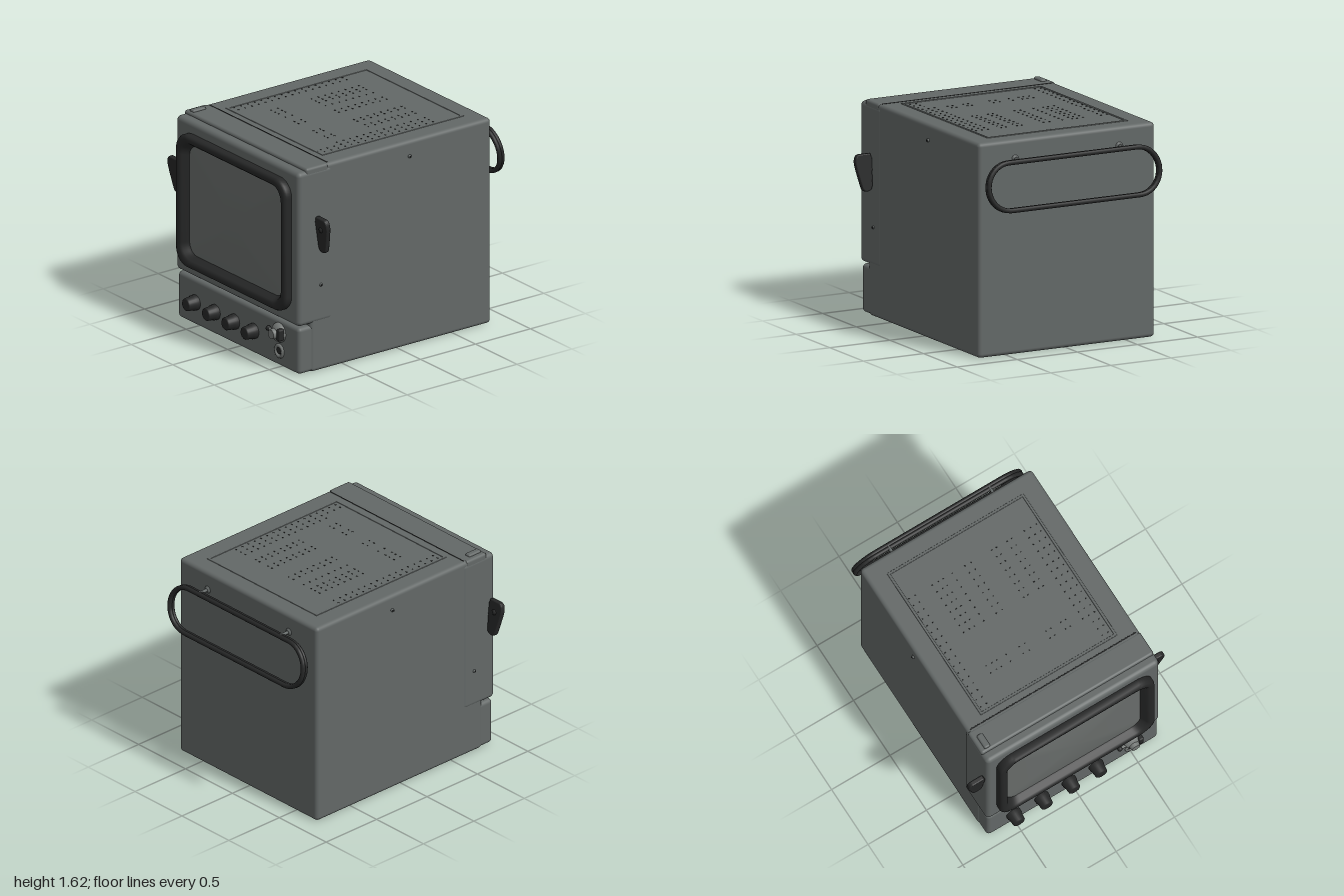
import * as THREE from 'three';
import { RoundedBoxGeometry } from 'three/addons/geometries/RoundedBoxGeometry.js';

const mat = (name, color) => {
  const m = new THREE.MeshStandardMaterial({ color });
  m.name = name;
  return m;
};

// Outline of a rounded rectangle centred on (0, 0)
function roundedLoop(w, h, r, steps = 10) {
  const pts = [];
  [[1, 1], [-1, 1], [-1, -1], [1, -1]].forEach(([sx, sy], q) => {
    for (let i = 0; i <= steps; i++) {
      const a = (q + i / steps) * Math.PI / 2;
      pts.push([sx * (w - r) + r * Math.cos(a), sy * (h - r) + r * Math.sin(a)]);
    }
  });
  return pts;
}

// Surface through rounded rectangles given as [halfWidth, halfHeight, radius, z]
function loft(sections) {
  const pos = [], index = [];
  let n = 0;
  sections.forEach(([w, h, r, z], k) => {
    const loop = roundedLoop(w, h, r);
    n = loop.length;
    loop.forEach(([x, y]) => pos.push(x, y, z));
    if (!k) return;
    for (let i = 0; i < n; i++) {
      const a = (k - 1) * n + i, b = (k - 1) * n + (i + 1) % n;
      index.push(a, b, b + n, a, b + n, a + n);
    }
  });
  const g = new THREE.BufferGeometry();
  g.setAttribute('position', new THREE.Float32BufferAttribute(pos, 3));
  g.setIndex(index);
  g.computeVertexNormals();
  return g;
}

export function createModel() {
  const model = new THREE.Group();
  const grey = mat('casing grey', 0x636867);
  const glass = mat('screen grey', 0x686c6a);
  const black = mat('rubber black', 0x262727);
  const metal = mat('latch metal', 0x747876);

  const add = (name, geo, material, x = 0, y = 0, z = 0, parent = model) => {
    const mesh = new THREE.Mesh(geo, material);
    mesh.name = name;
    mesh.position.set(x, y, z);
    parent.add(mesh);
    return mesh;
  };
  // Rounded box given by its limits
  const box = (name, m, x0, x1, y0, y1, z0, z1, r) => add(name,
    new RoundedBoxGeometry(x1 - x0, y1 - y0, z1 - z0, 3, r), m, (x0 + x1) / 2, (y0 + y1) / 2, (z0 + z1) / 2);

  // Casing: main shell, front hood and control panel
  box('mainShell', grey, -0.735, 0.735, 0.01, 1.61, -0.845, 0.8, 0.03);
  box('frontHood', grey, -0.74, 0.74, 0.39, 1.59, 0.6, 0.915, 0.035);
  box('hoodTop', grey, -0.738, 0.738, 1.5, 1.612, 0.64, 0.84, 0.02);
  box('controlPanel', grey, -0.73, 0.73, 0.015, 0.375, 0.6, 0.905, 0.03);
  box('topSeam', black, -0.71, 0.71, 1.606, 1.613, 0.628, 0.636, 0.002);
  box('topSwitch', grey, -0.7, -0.65, 1.595, 1.627, 0.7, 0.82, 0.014);

  // Shallow raised border around the ventilated top
  for (const s of [-1, 1]) box('topBorder', grey, s * 0.575 - 0.01, s * 0.575 + 0.01, 1.605, 1.614, -0.7, 0.57, 0.004);
  for (const z of [-0.7, 0.57]) box('topBorder', grey, -0.585, 0.585, 1.605, 1.614, z - 0.01, z + 0.01, 0.004);

  // Rows of tiny ventilation holes
  const columns = [-0.55, -0.5, -0.35, -0.3, -0.26, -0.18, -0.07, -0.02, 0.16, 0.2, 0.29, 0.33, 0.44, 0.49, 0.54];
  const holes = new THREE.InstancedMesh(new THREE.BoxGeometry(0.011, 0.004, 0.008), black, columns.length * 17);
  holes.name = 'ventHoles';
  const place = new THREE.Matrix4();
  let count = 0;
  for (let row = 0; row < 17; row++) {
    const z = -0.46 + row * 0.0615;
    columns.forEach((x) => {
      if (z > 0.4 && Math.abs(x) < 0.48) return;
      if (z > 0 && z < 0.25 && Math.abs(x) < 0.4) return;
      holes.setMatrixAt(count++, place.makeTranslation(x, 1.611, z));
    });
  }
  holes.count = count;
  model.add(holes);

  // Screen surround, rounded outside and sloping inward to the glass
  const bezel = [[0.655, 0.507, 0.13, 0.9], [0.662, 0.515, 0.13, 0.925], [0.662, 0.515, 0.13, 0.96],
    [0.654, 0.507, 0.125, 0.976], [0.636, 0.489, 0.12, 0.983], [0.613, 0.466, 0.115, 0.98],
    [0.597, 0.452, 0.11, 0.966], [0.578, 0.437, 0.1, 0.93], [0.562, 0.422, 0.09, 0.91]];
  add('screenSurround', loft(bezel), black, 0, 0.993);

  // Gently domed screen
  const dome = [];
  for (let i = 0; i <= 8; i++) {
    const s = 1 - i / 8 * 0.999;
    dome.push([0.57 * s, 0.43 * s, 0.09 * s, 0.917 + 0.033 * (1 - s * s)]);
  }
  add('screen', loft(dome), glass, 0, 0.988);

  // Round control knobs
  const knobProfile = [[0, 0.095], [0.04, 0.095], [0.048, 0.088], [0.053, 0.035], [0.058, 0.03], [0.058, 0]]
    .reverse().map(([r, y]) => new THREE.Vector2(r, y));
  const knobGeo = new THREE.LatheGeometry(knobProfile, 24).rotateX(Math.PI / 2);
  for (const x of [-0.512, -0.272, -0.038, 0.193]) add('knob', knobGeo, black, x, 0.195, 0.903);

  // Rotary latch with a short lever, and the socket below it
  const latch = add('rotaryLatch', new THREE.SphereGeometry(0.075, 24, 12), metal, 0.5, 0.28, 0.905);
  latch.scale.z = 0.75;
  add('latchCap', new THREE.CylinderGeometry(0.035, 0.04, 0.03, 20).rotateX(Math.PI / 2), metal, 0.495, 0.28, 0.967);
  add('latchGrip', new RoundedBoxGeometry(0.04, 0.09, 0.05, 2, 0.012), black, 0.555, 0.285, 0.94);
  add('latchLever', new THREE.CapsuleGeometry(0.012, 0.06, 4, 10).rotateZ(Math.PI / 2), metal, 0.415, 0.283, 0.925);
  add('leverTip', new THREE.SphereGeometry(0.02, 12, 8), black, 0.39, 0.283, 0.925);
  add('socketRing', new THREE.TorusGeometry(0.042, 0.014, 8, 24), metal, 0.5, 0.135, 0.907);
  add('socketHole', new THREE.CylinderGeometry(0.027, 0.027, 0.008, 20).rotateX(Math.PI / 2), black, 0.5, 0.138, 0.908);

  // Tapered side wing grips
  const wing = new THREE.Shape();
  wing.moveTo(0.02, 0.13);
  wing.lineTo(0.1, 0.13);
  wing.quadraticCurveTo(0.133, 0.13, 0.13, 0.07);
  wing.quadraticCurveTo(0.125, 0.03, 0.086, -0.11);
  wing.quadraticCurveTo(0.08, -0.13, 0.055, -0.13);
  wing.quadraticCurveTo(0.02, -0.13, 0.018, -0.09);
  wing.lineTo(0.01, 0.1);
  const wingGeo = new THREE.ExtrudeGeometry(wing, {
    depth: 0.02, bevelThickness: 0.01, bevelSize: 0.009, bevelSegments: 3, curveSegments: 8,
  }).translate(0, 0, -0.01);
  for (const [side, z] of [[1, 0.735], [-1, 0.86]]) {
    const grip = new THREE.Group();
    grip.name = side > 0 ? 'leftWingGrip' : 'rightWingGrip';
    grip.position.set(side * 0.738, 1.09, z);
    grip.rotation.set(0.12, side > 0 ? 0 : Math.PI, 0, 'XYZ');
    add('wing', wingGeo, black, 0, 0, 0, grip);
    add('wingHub', new THREE.SphereGeometry(0.026, 16, 10), black, 0.066, 0.05, 0.006, grip);
    add('wingShaft', new THREE.CylinderGeometry(0.014, 0.014, 0.06, 12).rotateZ(Math.PI / 2), black, 0, 0.02, 0, grip);
    model.add(grip);
    // Small side screws
    for (const [y, sz] of [[1.49, -0.1], [0.68, 0.71]]) {
      add('sideScrew', new THREE.SphereGeometry(0.014, 12, 8), grey, side * 0.736, y, sz);
      add('screwSlot', new THREE.BoxGeometry(0.006, 0.012, 0.012), black, side * 0.749, y, sz);
    }
  }

  // Stadium-shaped rear handle, grooved along its middle
  const path = new THREE.CurvePath();
  const half = 0.175, reach = 0.535;
  const loop = [];
  for (const side of [1, -1]) {
    for (let i = 0; i <= 16; i++) {
      const a = -Math.PI / 2 + i / 16 * Math.PI;
      loop.push(new THREE.Vector3(side * (reach + half * Math.cos(a)), side * half * Math.sin(a), 0));
    }
  }
  loop.forEach((p, i) => path.add(new THREE.LineCurve3(p, loop[(i + 1) % loop.length])));
  const handle = new THREE.Group();
  handle.name = 'rearHandle';
  handle.position.set(0, 1.29, -0.949);
  handle.rotation.x = 0.13;
  const bar = new THREE.TubeGeometry(path, 160, 0.018, 10, true);
  for (const z of [-0.011, 0.011]) add('handleBar', bar, black, 0, 0, z, handle);
  model.add(handle);
  for (const x of [-0.435, 0.43]) {
    add('handlePost', new THREE.CylinderGeometry(0.012, 0.012, 0.1, 12).rotateX(Math.PI / 2), grey, x, 1.468, -0.88);
    add('postFlange', new THREE.CylinderGeometry(0.014, 0.032, 0.016, 16).rotateX(-Math.PI / 2), grey, x, 1.468, -0.85);
  }
  return model;
}
